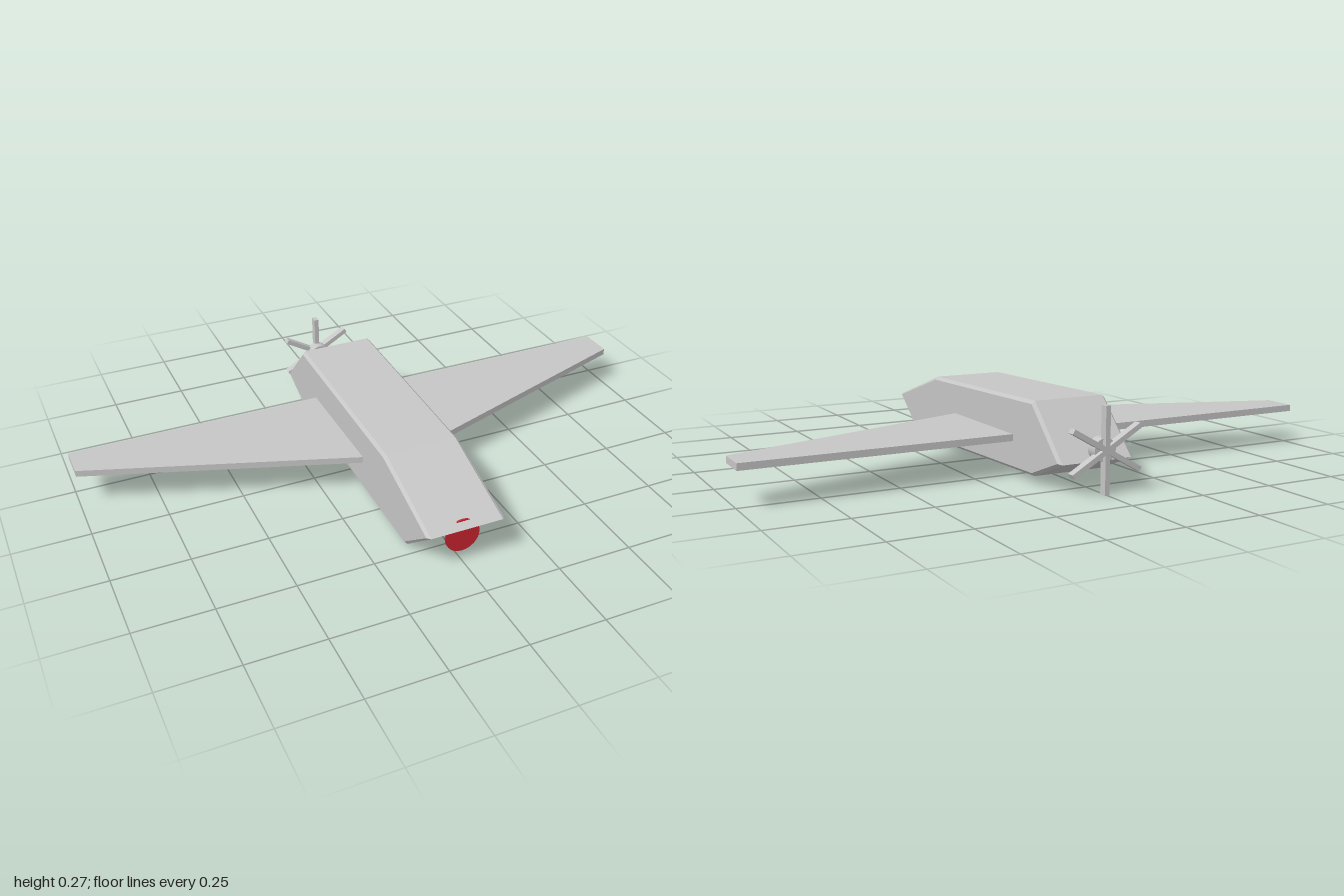
import * as THREE from 'three';

const grey = new THREE.MeshStandardMaterial({ name: 'airframe grey', color: 0xc6c6c6 });
const red = new THREE.MeshStandardMaterial({ name: 'nose red', color: 0xc92431 });

const outline = (points) => new THREE.Shape(points.map(([a, b]) => new THREE.Vector2(a, b)));

function part(parent, name, geometry, material, x = 0, y = 0, z = 0) {
  const mesh = new THREE.Mesh(geometry, material);
  mesh.name = name;
  mesh.position.set(x, y, z);
  parent.add(mesh);
  return mesh;
}

export function createModel() {
  const model = new THREE.Group();
  model.name = 'aircraft';

  // Fuselage: side profile (z, y) extruded across x with a small chamfer
  const bevel = 0.01, halfWidth = 0.13;
  const body = new THREE.ExtrudeGeometry(
    outline([[0.62, 0.14], [0.3, 0.244], [-0.4, 0.262], [-0.564, 0.095], [-0.4, 0.029], [0.46, 0.009]]),
    {
      depth: 2 * (halfWidth - bevel), bevelEnabled: true, bevelSegments: 1,
      bevelSize: bevel, bevelThickness: bevel, bevelOffset: -bevel,
    }
  );
  body.translate(0, 0, -(halfWidth - bevel));
  body.rotateY(-Math.PI / 2);
  part(model, 'fuselage', body, grey);

  // Wings: tapered slabs, straight trailing edge, mirrored left and right
  for (const side of [1, -1]) {
    const wing = new THREE.ExtrudeGeometry(
      outline([[0, -0.278], [side, -0.278], [side, -0.165], [0, 0.183]]),
      { depth: 0.022, bevelEnabled: false }
    );
    wing.rotateX(Math.PI / 2);
    part(model, side > 0 ? 'leftWing' : 'rightWing', wing, grey, 0, 0.139, 0);
  }

  // Nose disc, half sunk in the pointed nose
  const disc = new THREE.CylinderGeometry(0.0575, 0.0575, 0.006, 32);
  disc.rotateX(Math.PI / 2);
  part(model, 'noseDisc', disc, red, 0, 0.097, 0.588);

  // Pusher propeller: hub and three crossed bars
  const propeller = new THREE.Group();
  propeller.name = 'propeller';
  propeller.position.set(0, 0.137, -0.607);
  model.add(propeller);
  const hub = new THREE.CylinderGeometry(0.037, 0.037, 0.038, 16);
  hub.rotateX(Math.PI / 2);
  part(propeller, 'propellerHub', hub, grey, 0, 0, 0.02);
  for (let i = 0; i < 3; i++) {
    const blade = part(propeller, 'propellerBlade', new THREE.BoxGeometry(0.016, 0.268, 0.026), grey);
    blade.rotation.z = (i * Math.PI) / 3;
  }
  return model;
}
